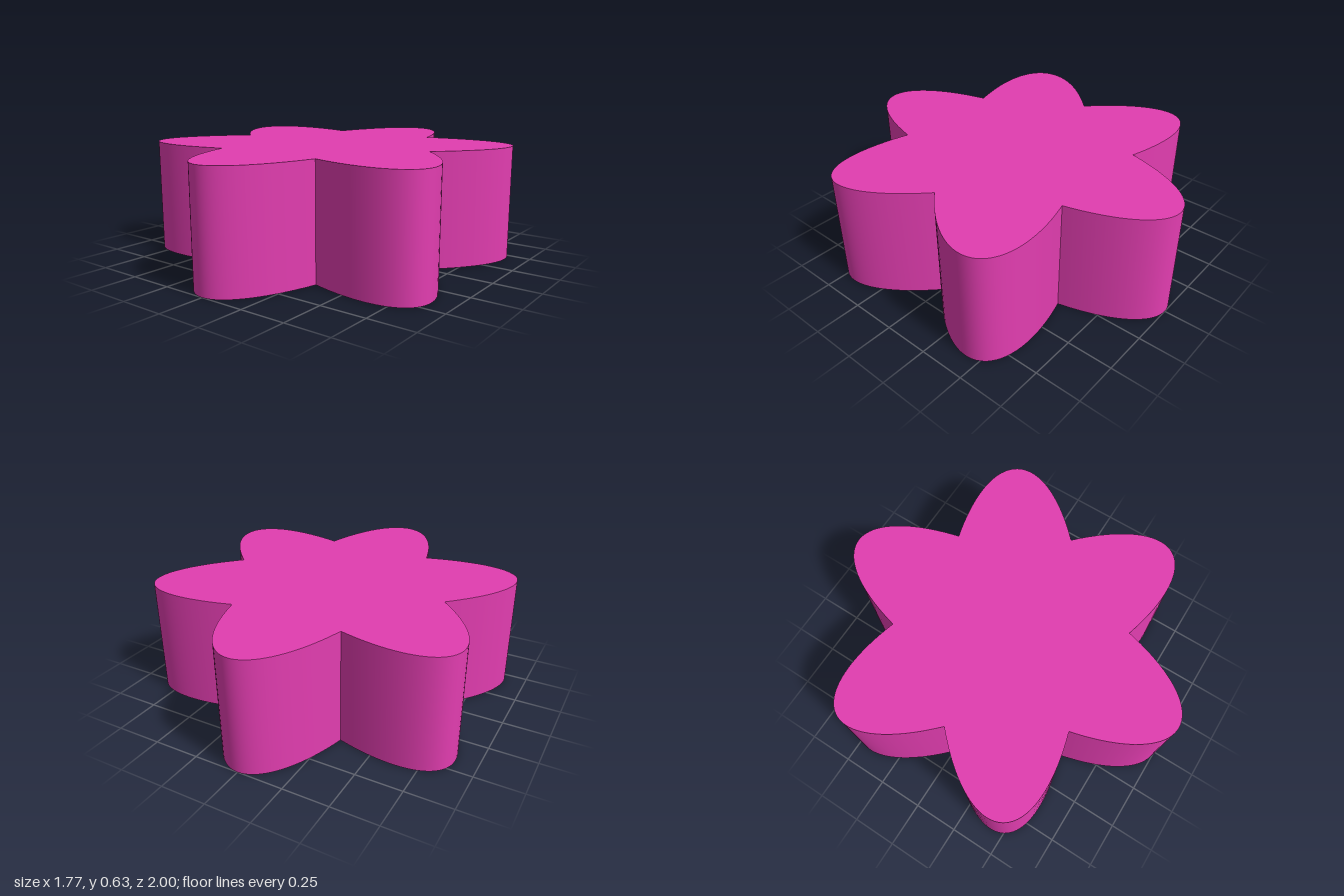
import * as THREE from 'three';
import { toCreasedNormals } from 'three/addons/utils/BufferGeometryUtils.js';

export function createModel() {
  const PETALS = 6, STEPS = 40, HEIGHT = 0.626;
  const LENGTH = 1, HALF_WIDTH = 0.373; // semi-axes of each crossed ellipse

  // Outline: the outer arc of each ellipse, from one valley to the next
  const valley = Math.atan(Math.tan(Math.PI / PETALS) * LENGTH / HALF_WIDTH);
  const outline = [];
  for (let p = 0; p < PETALS; p++) {
    const turn = Math.PI / 2 + (p * 2 * Math.PI) / PETALS;
    for (let i = 0; i < STEPS; i++) {
      const t = valley * (2 * i / STEPS - 1);
      outline.push(new THREE.Vector2(LENGTH * Math.cos(t), HALF_WIDTH * Math.sin(t))
        .rotateAround(new THREE.Vector2(), turn));
    }
  }

  // Upright prism with smooth petals and sharp valleys and rims
  const extruded = new THREE.ExtrudeGeometry(new THREE.Shape(outline), { depth: HEIGHT, bevelEnabled: false });
  extruded.rotateX(-Math.PI / 2);
  const flower = new THREE.Mesh(
    toCreasedNormals(extruded, 0.5),
    new THREE.MeshStandardMaterial({ color: 0xe23db0 })
  );
  flower.name = 'flowerBlock';

  const group = new THREE.Group();
  group.name = 'sixPetalFlower';
  group.add(flower);
  return group;
}
